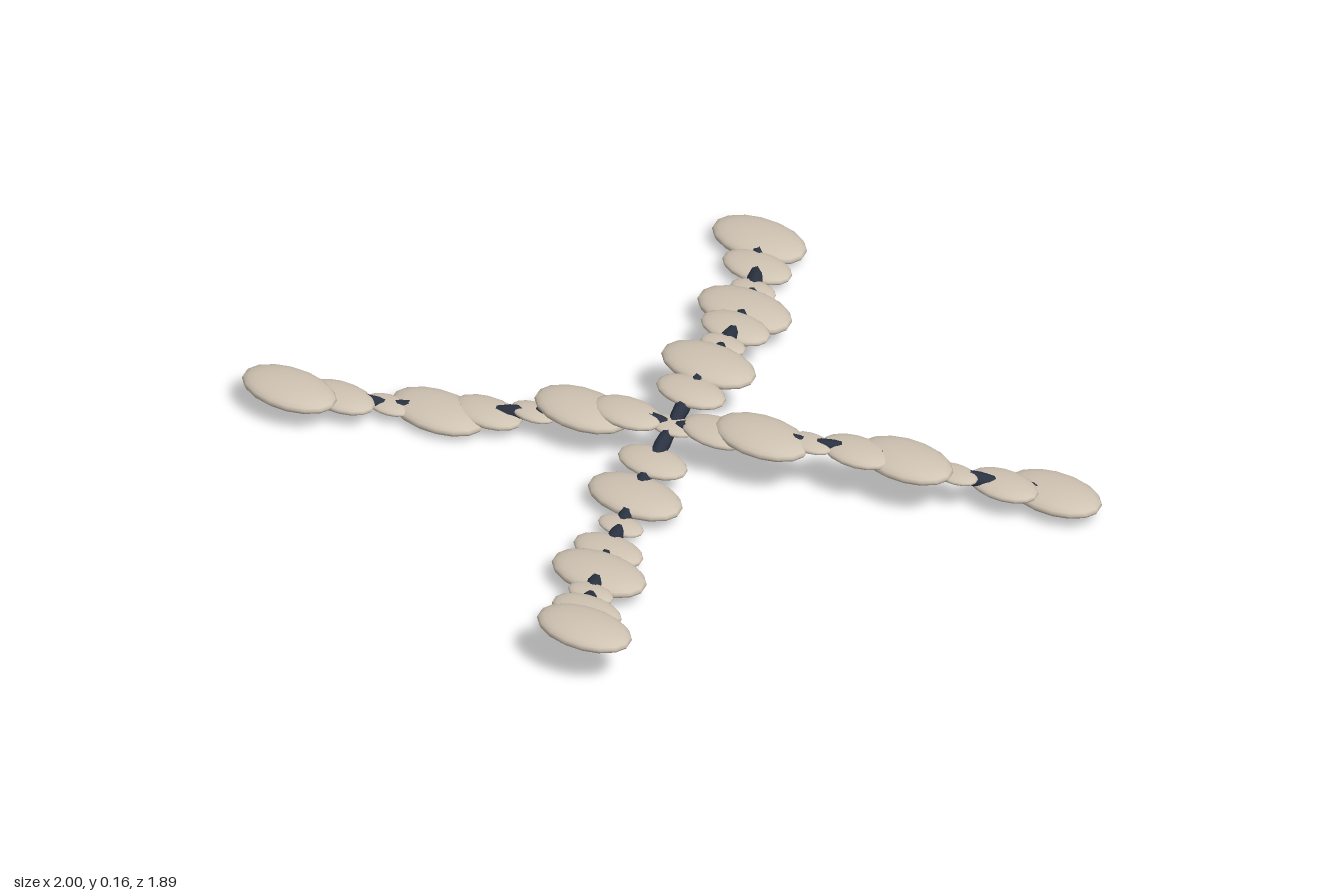
import * as THREE from 'three';

export function createModel() {
  const model = new THREE.Group();
  model.name = 'segmentedCross';

  const shell = new THREE.MeshStandardMaterial({ color: 0xd0c4b3 });
  shell.name = 'pale shell';
  const dark = new THREE.MeshStandardMaterial({ color: 0x2b3342 });
  dark.name = 'dark joint';

  // Flattened discs repeat in three sizes: small, medium, large
  const disc = new THREE.SphereGeometry(1, 16, 12);
  const joint = new THREE.SphereGeometry(1, 8, 6);
  const sizes = [0.48, 0.735, 1];

  // Ground plan of one arm (sideways, outward), turned for the other three
  const path = [
    [0, 0], [0.03, 0.114], [0.065, 0.228], [0.11, 0.342], [0.155, 0.449],
    [0.212, 0.558], [0.27, 0.665], [0.335, 0.764], [0.407, 0.865],
  ];

  // Each arm undulates with its own heights
  const arms = [
    { name: 'frontArm', turn: 0, y: [0.105, 0.07, 0.043, 0.035, 0.037, 0.05, 0.07, 0.096, 0.127] },
    { name: 'leftArm', turn: 1, y: [0.105, 0.117, 0.131, 0.136, 0.131, 0.12, 0.094, 0.068, 0.047] },
    { name: 'backArm', turn: 2, y: [0.105, 0.133, 0.139, 0.12, 0.095, 0.068, 0.047, 0.037, 0.035] },
    { name: 'rightArm', turn: 3, y: [0.105, 0.112, 0.094, 0.063, 0.042, 0.03, 0.036, 0.052, 0.072] },
  ];
  const up = new THREE.Vector3(0, 1, 0);

  for (const { name, turn, y } of arms) {
    const arm = new THREE.Group();
    arm.name = name;
    const points = path.map(([x, z], i) =>
      new THREE.Vector3(x, 0, z).applyAxisAngle(up, turn * Math.PI / 2)
        .add(new THREE.Vector3(-0.003, y[i], -0.004)));

    points.forEach((p, i) => {
      // Discs stay level and wide in x; the centre disc is shared
      if (i > 0 || turn === 0) {
        const s = sizes[i % 3];
        const m = new THREE.Mesh(disc, shell);
        m.name = 'disc' + i;
        m.scale.set(0.133 * s, 0.028 * s, 0.081 * s);
        m.position.copy(p);
        arm.add(m);
      }
      // Slim joint reaching to the next disc
      if (i < points.length - 1) {
        const step = points[i + 1].clone().sub(p);
        const j = new THREE.Mesh(joint, dark);
        j.name = 'joint' + i;
        j.scale.set(0.02, step.length() * 0.56, 0.02);
        j.quaternion.setFromUnitVectors(up, step.clone().normalize());
        j.position.copy(p).addScaledVector(step, 0.5);
        arm.add(j);
      }
    });
    model.add(arm);
  }
  return model;
}
